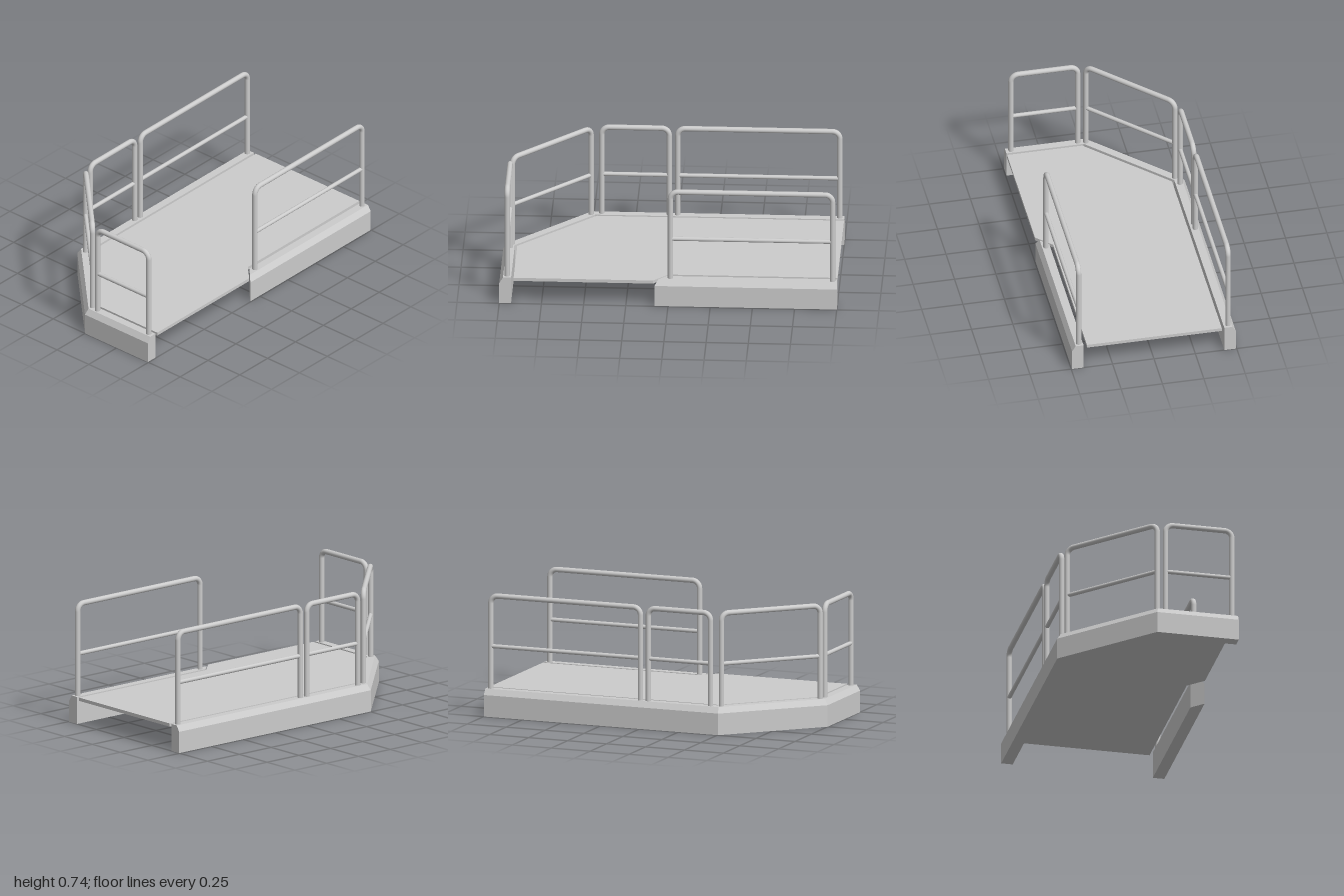
import * as THREE from 'three';

const material = new THREE.MeshStandardMaterial({ color: 0xcccccc });
const TOP = 0.165, HALF_W = 0.495, TAN = Math.tan(Math.PI / 8);

// Curb cross-section: [distance inward from the outer edge, height]
const CURB = [[0, 0], [0, 0.13], [0.022, TOP], [0.07, TOP], [0.07, 0]];

function addMesh(parent, geometry, name) {
  const mesh = new THREE.Mesh(geometry, material);
  mesh.name = name;
  parent.add(mesh);
  return mesh;
}

// Sweeps the curb section through stations, each giving [x, z] for an inward distance
function curbGeometry(stations) {
  const rings = stations.map(at => CURB.map(([d, y]) => {
    const [x, z] = at(d);
    return [x, y, z];
  }));
  const n = CURB.length, pos = [];
  const tri = (a, b, c) => pos.push(...a, ...b, ...c);
  for (let i = 0; i < rings.length - 1; i++) {
    for (let j = 0; j < n; j++) {
      const k = (j + 1) % n, p = rings[i], q = rings[i + 1];
      tri(p[j], q[j], q[k]);
      tri(p[j], q[k], p[k]);
    }
  }
  const first = rings[0], last = rings[rings.length - 1];
  for (let j = 1; j < n - 1; j++) {
    tri(first[0], first[j], first[j + 1]);
    tri(last[0], last[j + 1], last[j]);
  }
  const geometry = new THREE.BufferGeometry();
  geometry.setAttribute('position', new THREE.Float32BufferAttribute(pos, 3));
  geometry.computeVertexNormals();
  return geometry;
}

// Guard rail between two [x, z] post centres: posts, rounded corners, top and middle bars
function guardRail(name, [x0, z0], [x1, z1]) {
  const r = 0.016, bend = 0.045, topY = 0.724, midY = 0.42, foot = TOP - 0.005;
  const length = Math.hypot(x1 - x0, z1 - z0), half = length / 2;
  const rail = new THREE.Group();
  rail.name = name;
  rail.position.set((x0 + x1) / 2, 0, (z0 + z1) / 2);
  rail.rotation.y = -Math.atan2(z1 - z0, x1 - x0);

  const postH = topY - bend - foot;
  for (const side of [-1, 1]) {
    addMesh(rail, new THREE.CylinderGeometry(r, r, postH, 20), 'post')
      .position.set(side * half, foot + postH / 2, 0);
    const corner = addMesh(rail, new THREE.TorusGeometry(bend, r, 20, 10, Math.PI / 2), 'corner');
    corner.position.set(side * (half - bend), topY - bend, 0);
    if (side < 0) corner.rotation.z = Math.PI / 2;
  }
  const bar = (radius, len, y, label) => {
    const mesh = addMesh(rail, new THREE.CylinderGeometry(radius, radius, len, 20), label);
    mesh.rotation.z = Math.PI / 2;
    mesh.position.y = y;
  };
  bar(r, length - 2 * bend, topY, 'topBar');
  bar(0.0125, length, midY, 'middleBar');
  return rail;
}

export function createModel() {
  const model = new THREE.Group();
  model.name = 'guardedPlatform';

  // Deck plate, separated from the curbs by a narrow slot
  const outline = [[-0.41, -1], [0.405, -1], [0.405, 0], [HALF_W, 0.09],
    [HALF_W, 0.915], [0.04, 0.915], [-0.41, 0.465]];
  const shape = new THREE.Shape(outline.map(([x, z]) => new THREE.Vector2(x, -z)));
  const deck = new THREE.ExtrudeGeometry(shape, { depth: 0.02, bevelEnabled: false });
  deck.rotateX(-Math.PI / 2).translate(0, TOP - 0.02, 0);
  addMesh(model, deck, 'deck');

  // Long curb: right side, diagonal and front, mitred at the bends
  addMesh(model, curbGeometry([
    d => [-HALF_W + d, -1],
    d => [-HALF_W + d, 1 - HALF_W - d * TAN],
    d => [d * TAN, 1 - d],
    d => [HALF_W, 1 - d],
  ]), 'wrapAroundCurb');

  // Left side curb with a 45 degree end beside the opening
  addMesh(model, curbGeometry([
    d => [HALF_W - d, 0.08 - d],
    d => [HALF_W - d, -1],
  ]), 'leftCurb');

  // Guard rails
  model.add(
    guardRail('rightLongRail', [-0.453, -0.973], [-0.453, -0.012]),
    guardRail('rightShortRail', [-0.453, 0.038], [-0.453, 0.438]),
    guardRail('diagonalRail', [-0.434, 0.5], [0.012, 0.946]),
    guardRail('frontRail', [0.06, 0.955], [0.463, 0.955]),
    guardRail('leftLongRail', [0.45, -0.973], [0.45, -0.012]),
  );
  return model;
}
